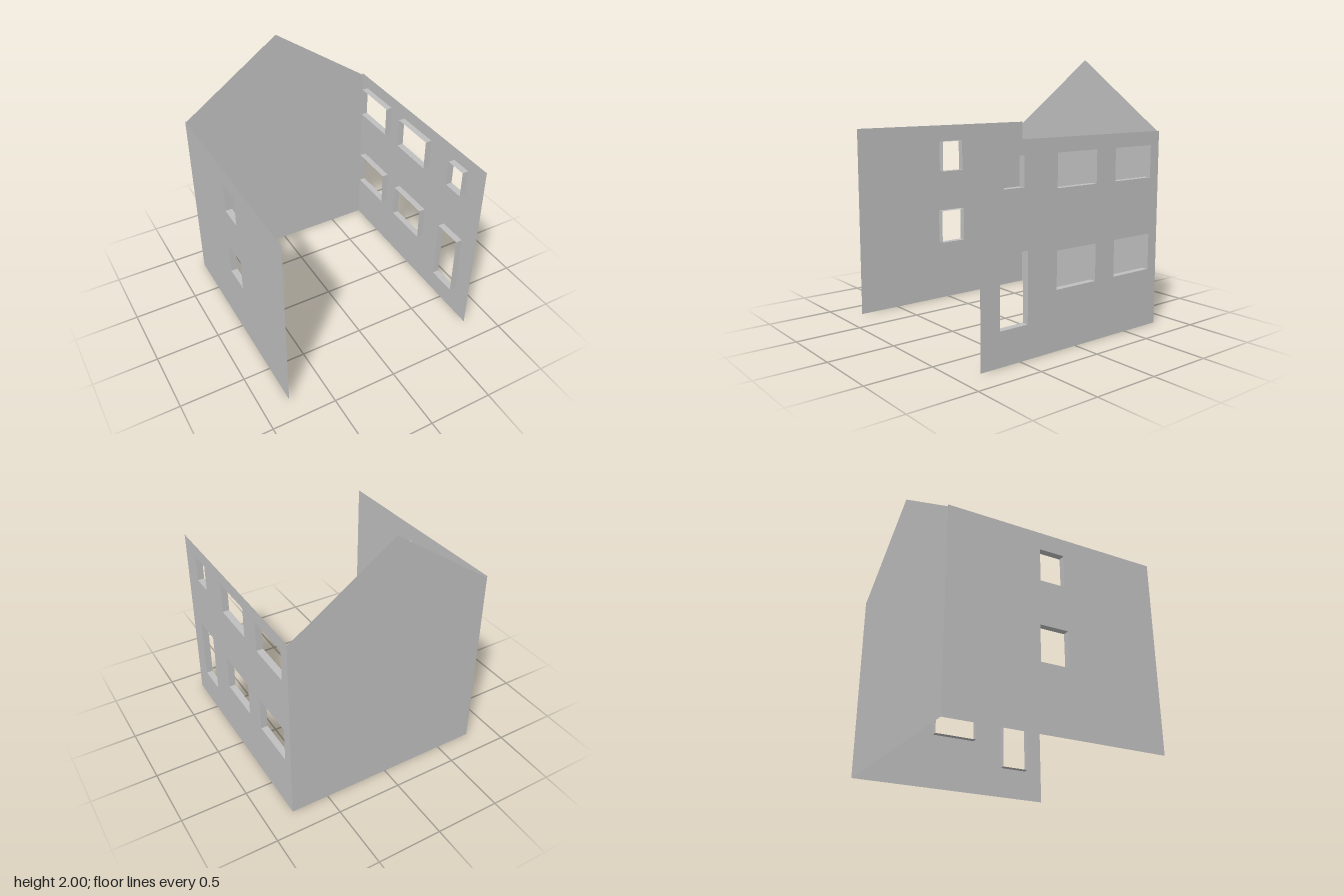
import * as THREE from 'three';
import { mergeGeometries } from 'three/addons/utils/BufferGeometryUtils.js';

const HALF_W = 0.788, HALF_D = 0.826, WALL_H = 1.47, EAVE = 1.455, PEAK = 2, REVEAL = 0.051;

// Openings as [zMin, zMax, yMin, yMax]
const rightOpenings = {
  door: [0.437, 0.668, 0.244, 0.743],
  smallWindow: [0.47, 0.638, 1.162, 1.368],
  middleUpperWindow: [-0.184, 0.182, 1.13, 1.368],
  backUpperWindow: [-0.739, -0.37, 1.13, 1.368],
  middleLowerWindow: [-0.184, 0.182, 0.435, 0.706],
  backLowerWindow: [-0.739, -0.37, 0.435, 0.706],
};
const leftOpenings = {
  upperWindow: [-0.122, 0.072, 1.09, 1.336],
  lowerWindow: [-0.134, 0.085, 0.488, 0.755],
};

function polygon(points, Type = THREE.Shape) {
  return new Type(points.map(([x, y]) => new THREE.Vector2(x, y)));
}

// Four thin faces lining an opening, all facing into it
function revealGeometry([z0, z1, y0, y1], x) {
  const w = z1 - z0, h = y1 - y0, zc = (z0 + z1) / 2, yc = (y0 + y1) / 2;
  return mergeGeometries([
    new THREE.PlaneGeometry(REVEAL, w).rotateX(-Math.PI / 2).translate(x, y0, zc),
    new THREE.PlaneGeometry(REVEAL, w).rotateX(Math.PI / 2).translate(x, y1, zc),
    new THREE.PlaneGeometry(REVEAL, h).translate(x, yc, z0),
    new THREE.PlaneGeometry(REVEAL, h).rotateY(Math.PI).translate(x, yc, z1),
  ]);
}

// Flat side wall with cut openings, linings run inward
function sideWall(name, side, openings, material) {
  const group = new THREE.Group();
  group.name = name;
  const shape = polygon([[-HALF_D, 0], [HALF_D, 0], [HALF_D, WALL_H], [-HALF_D, WALL_H]]);
  for (const [z0, z1, y0, y1] of Object.values(openings)) {
    const a = -z1 * side, b = -z0 * side;
    shape.holes.push(polygon([[a, y0], [a, y1], [b, y1], [b, y0]], THREE.Path));
  }
  const panel = new THREE.Mesh(new THREE.ShapeGeometry(shape), material);
  panel.name = name + 'Panel';
  panel.rotation.y = side * Math.PI / 2;
  panel.position.x = side * HALF_W;
  group.add(panel);
  for (const [part, opening] of Object.entries(openings)) {
    const lining = new THREE.Mesh(revealGeometry(opening, side * (HALF_W - REVEAL / 2)), material);
    lining.name = part + 'Reveal';
    group.add(lining);
  }
  return group;
}

export function createModel() {
  const model = new THREE.Group();
  model.name = 'houseShell';
  const plaster = new THREE.MeshStandardMaterial({ color: 0xbfbfbf, side: THREE.DoubleSide });
  plaster.name = 'grey plaster';

  // Side walls
  model.add(sideWall('leftWall', 1, rightOpenings, plaster));
  model.add(sideWall('rightWall', -1, leftOpenings, plaster));

  // Gabled back wall, facing outward
  const gable = polygon([[-HALF_W, 0], [HALF_W, 0], [HALF_W, EAVE], [0, PEAK], [-HALF_W, EAVE]]);
  const back = new THREE.Mesh(new THREE.ShapeGeometry(gable), plaster);
  back.name = 'backGableWall';
  back.rotation.y = Math.PI;
  back.position.z = -HALF_D;
  model.add(back);
  return model;
}
